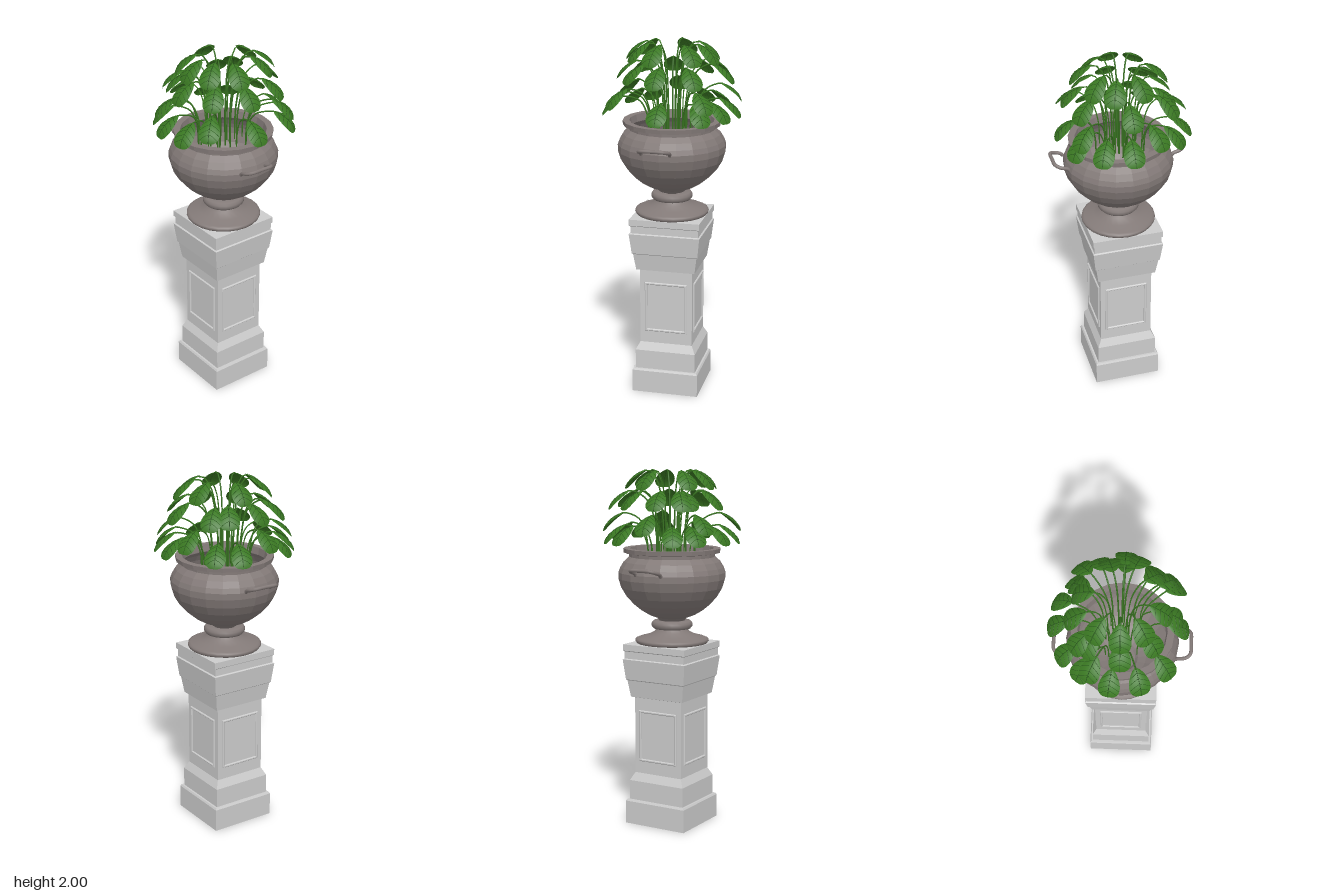
import * as THREE from 'three';
import { mergeGeometries } from 'three/addons/utils/BufferGeometryUtils.js';

const V = (x, y, z) => new THREE.Vector3(x, y, z);
const mat = (color, flatShading = true) =>
  new THREE.MeshStandardMaterial({ color, flatShading, side: THREE.DoubleSide });
const stone = mat(0xcccccc), iron = mat(0x837a78), ironSmooth = mat(0x837a78, false);
const green = mat(0x3a7822, false), dark = mat(0x28591c, false);

function add(parent, name, geometry, material) {
  const m = new THREE.Mesh(geometry, material);
  m.name = name;
  parent.add(m);
  return m;
}

const lathe = (pts, segments, scale = 1) =>
  new THREE.LatheGeometry(pts.map(([r, y]) => new THREE.Vector2(r * scale, y)), segments);

// Square stepped pedestal, open underneath, with a framed panel on each face
function pedestal() {
  const g = new THREE.Group();
  g.name = 'pedestal';
  const body = lathe([
    [0.19, 0], [0.19, 0.13], [0.184, 0.14], [0.173, 0.14], [0.173, 0.25], [0.15, 0.295],
    [0.15, 0.73], [0.167, 0.735], [0.181, 0.83], [0.187, 0.835], [0.2, 0.95],
    [0.192, 0.955], [0.192, 0.995], [0.199, 1.0], [0.199, 1.035], [0.012, 1.035],
  ], 4, Math.SQRT2);
  body.rotateY(Math.PI / 4);
  add(g, 'pedestalBody', body, stone);

  const rect = (S, w, h) => {
    const s = new S();
    s.moveTo(-w, -h).lineTo(w, -h).lineTo(w, h).lineTo(-w, h).closePath();
    return s;
  };
  const shape = rect(THREE.Shape, 0.118, 0.143);
  shape.holes.push(rect(THREE.Path, 0.112, 0.137));
  const frame = new THREE.ExtrudeGeometry(shape, {
    depth: 0.005, bevelEnabled: true, bevelThickness: 0.004, bevelSize: 0.004, bevelSegments: 1,
  });
  frame.translate(0, 0.512, 0.149);
  for (let i = 0; i < 4; i++)
    add(g, 'panelFrame', frame, stone).rotation.y = i * Math.PI / 2;
  return g;
}

// Footed urn with two loop handles
function urn() {
  const g = new THREE.Group();
  g.name = 'urn';
  add(g, 'foot', lathe([
    [0.011, 1.037], [0.2, 1.037], [0.207, 1.047], [0.205, 1.058], [0.192, 1.064],
    [0.14, 1.078], [0.1, 1.097], [0.085, 1.12],
  ], 24), ironSmooth);
  add(g, 'footRing', lathe([
    [0.085, 1.115], [0.105, 1.118], [0.115, 1.13], [0.115, 1.147], [0.105, 1.16], [0.075, 1.163],
  ], 24), ironSmooth);
  add(g, 'bowl', lathe([
    [0.011, 1.163], [0.07, 1.163], [0.085, 1.178], [0.13, 1.195], [0.175, 1.222], [0.215, 1.255],
    [0.255, 1.3], [0.285, 1.35], [0.3, 1.4], [0.3, 1.435], [0.29, 1.462], [0.27, 1.495],
    [0.24, 1.522], [0.24, 1.54], [0.27, 1.545], [0.272, 1.568], [0.235, 1.568], [0.228, 1.53],
  ], 20), iron);

  // Handle: rounded loop rising outwards, with ends turned down into the bowl
  const path = new THREE.CatmullRomCurve3([
    V(0.285, 1.435, -0.079), V(0.295, 1.447, -0.08), V(0.335, 1.461, -0.08),
    V(0.359, 1.47, -0.06), V(0.362, 1.472, 0), V(0.359, 1.47, 0.06),
    V(0.335, 1.461, 0.08), V(0.295, 1.447, 0.08), V(0.285, 1.435, 0.079),
  ]);
  const handle = new THREE.TubeGeometry(path, 32, 0.01, 8);
  for (const side of [0, 1]) {
    const m = add(g, side ? 'rightHandle' : 'leftHandle', handle, ironSmooth);
    m.rotation.y = side * Math.PI;
    m.position.z = 0.022;
  }
  return g;
}

// One leaf on its stalk, growing towards +x
function leafPlant(r0, rc, top, drop) {
  const g = new THREE.Group();
  const start = rc - 0.07, len = 0.12;
  // u runs along the leaf, v from -1 to 1 across it
  const at = (u, v, lift = 0) => {
    const w = 0.056 * Math.pow(Math.max(0, Math.sin(Math.PI * Math.pow(u, 1.15))), 0.55);
    return V(start + len * Math.sin(u * 1.4) / Math.sin(1.4),
      top - 0.002 - drop * Math.pow(u, 1.4) - 0.018 * v * v * (w / 0.056) + lift, v * w);
  };
  const blade = new THREE.PlaneGeometry(1, 1, 14, 8);
  const pos = blade.attributes.position;
  for (let i = 0; i < pos.count; i++) {
    const p = at(pos.getX(i) + 0.5, pos.getY(i) * 2);
    pos.setXYZ(i, p.x, p.y, p.z);
  }
  blade.computeVertexNormals();
  add(g, 'leafBlade', blade, green);

  // Midrib and slanted side veins
  const tube = (pts, n, r) => new THREE.TubeGeometry(new THREE.CatmullRomCurve3(pts), n, r, 4);
  const veins = [tube([0, 0.25, 0.5, 0.75, 0.98].map(u => at(u, 0, 0.001)), 8, 0.0018)];
  for (const u of [0.16, 0.33, 0.5, 0.67])
    for (const s of [-1, 1])
      veins.push(tube([0, 0.5, 0.95].map(v => at(u + 0.12 * v, s * v, 0.0005)), 4, 0.0013));
  add(g, 'leafVeins', mergeGeometries(veins), dark);

  // Stalk: nearly upright, then arching into the leaf
  const h = top - 1.48;
  add(g, 'stalk', tube([
    V(r0, 1.48, 0), V(r0 + 0.008, 1.48 + h * 0.5, 0),
    V(r0 + (start - r0) * 0.35, 1.48 + h * 0.86, 0),
    V(start - 0.02, top - 0.006, 0), at(0.08, 0),
  ], 14, 0.0042), green);
  return g;
}

// Three tiers of leaves: [angle in degrees from +x towards +z, radius of the leaf centre]
const tiers = [
  { name: 'upperLeaf', top: 2.0, drop: 0.105, r0: 0.04,
    leaves: [[15, 0.215], [55, 0.2], [89, 0.205], [125, 0.2], [190, 0.2], [253, 0.21],
      [291, 0.235], [320, 0.215]] },
  { name: 'middleLeaf', top: 1.89, drop: 0.105, r0: 0.08,
    leaves: [[6, 0.265], [48, 0.24], [89, 0.26], [128, 0.25], [138, 0.275], [168, 0.24],
      [210, 0.25], [228, 0.3], [273, 0.295], [326, 0.285]] },
  { name: 'lowerLeaf', top: 1.765, drop: 0.105, r0: 0.13,
    leaves: [[2, 0.305], [48, 0.345], [72, 0.335], [98, 0.335], [117, 0.315], [126, 0.325],
      [148, 0.33], [173, 0.33], [200, 0.335], [223, 0.33], [249, 0.335], [273, 0.335],
      [299, 0.34], [319, 0.335], [323, 0.35]] },
];

export function createModel() {
  const model = new THREE.Group();
  model.name = 'pottedPlantOnPedestal';
  const base = pedestal(), pot = urn();
  base.position.x = 0.005;
  pot.position.x = 0.009;
  model.add(base, pot);

  const plant = new THREE.Group();
  plant.name = 'plant';
  tiers.forEach((t, k) => t.leaves.forEach(([angle, radius], i) => {
    // Most lower leaves hang a little further down
    const low = k === 2 && i % 3 !== 1 ? 0.06 : 0;
    const leaf = leafPlant(t.r0, radius, t.top - low, t.drop);
    leaf.name = t.name;
    leaf.rotation.y = -angle * Math.PI / 180;
    plant.add(leaf);
  }));
  model.add(plant);
  return model;
}
